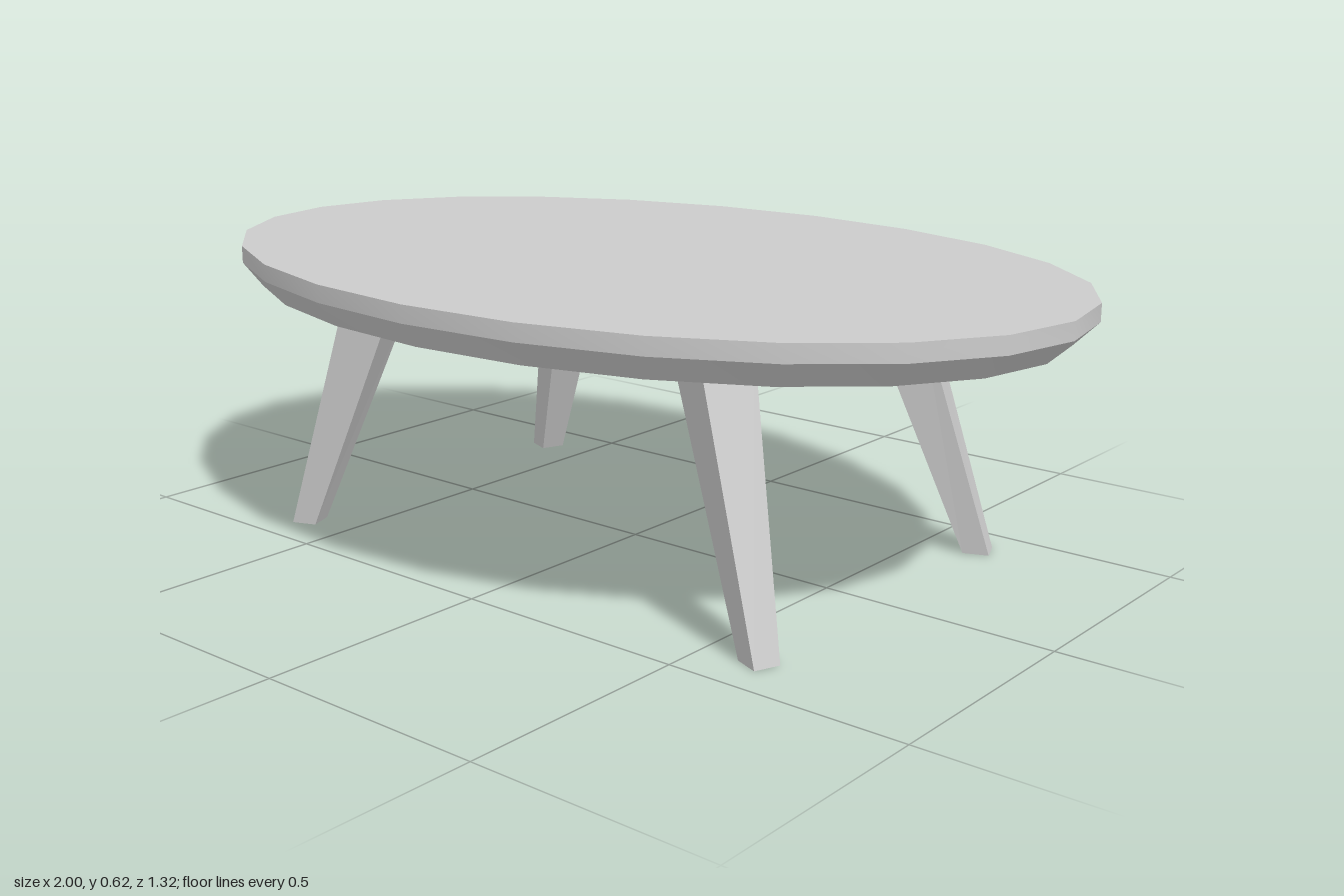
import * as THREE from 'three';
import { toCreasedNormals } from 'three/addons/utils/BufferGeometryUtils.js';

const material = new THREE.MeshStandardMaterial({ color: 0xcccccc, side: THREE.DoubleSide });
const TOP = 0.617, RIM = 0.581, UNDER = 0.532, LEG_TOP = 0.547;

// Oval shell, open below, with an upright rim and a bevelled lower edge
function createTabletop() {
  const profile = [[0.95, UNDER], [1, RIM], [1, TOP], [0, TOP]]
    .map(([r, y]) => new THREE.Vector2(r, y));
  const geometry = new THREE.LatheGeometry(profile, 24);
  geometry.scale(1, 1, 0.66);
  const mesh = new THREE.Mesh(toCreasedNormals(geometry, 0.5), material);
  mesh.name = 'tabletop';
  return mesh;
}

// Square tapered open-ended leg, turned about its axis and splayed outwards
function createLeg(name, mx, mz) {
  const head = { x: 0.44, z: 0.308, size: 0.115, angle: 0.42 };
  const foot = { x: 0.619, z: 0.39, size: 0.055, angle: 0.38 };
  const tube = new THREE.CylinderGeometry(Math.SQRT1_2, Math.SQRT1_2, 1, 4, 1, true);
  tube.rotateY(Math.PI / 4);
  const p = tube.attributes.position;
  for (let i = 0; i < p.count; i++) {
    const up = p.getY(i) > 0;
    const end = up ? head : foot;
    const a = end.angle * mx * mz;
    const x = p.getX(i) * end.size, z = p.getZ(i) * end.size;
    p.setXYZ(i,
      mx * end.x + x * Math.cos(a) - z * Math.sin(a),
      up ? LEG_TOP : 0,
      mz * end.z + x * Math.sin(a) + z * Math.cos(a));
  }
  const geometry = tube.toNonIndexed();
  geometry.computeVertexNormals();
  const mesh = new THREE.Mesh(geometry, material);
  mesh.name = name;
  return mesh;
}

export function createModel() {
  const table = new THREE.Group();
  table.name = 'ovalTable';
  table.add(createTabletop());
  for (const [side, mx] of [['Left', 1], ['Right', -1]]) {
    for (const [end, mz] of [['front', 1], ['back', -1]]) {
      table.add(createLeg(`${end}${side}Leg`, mx, mz));
    }
  }
  return table;
}
